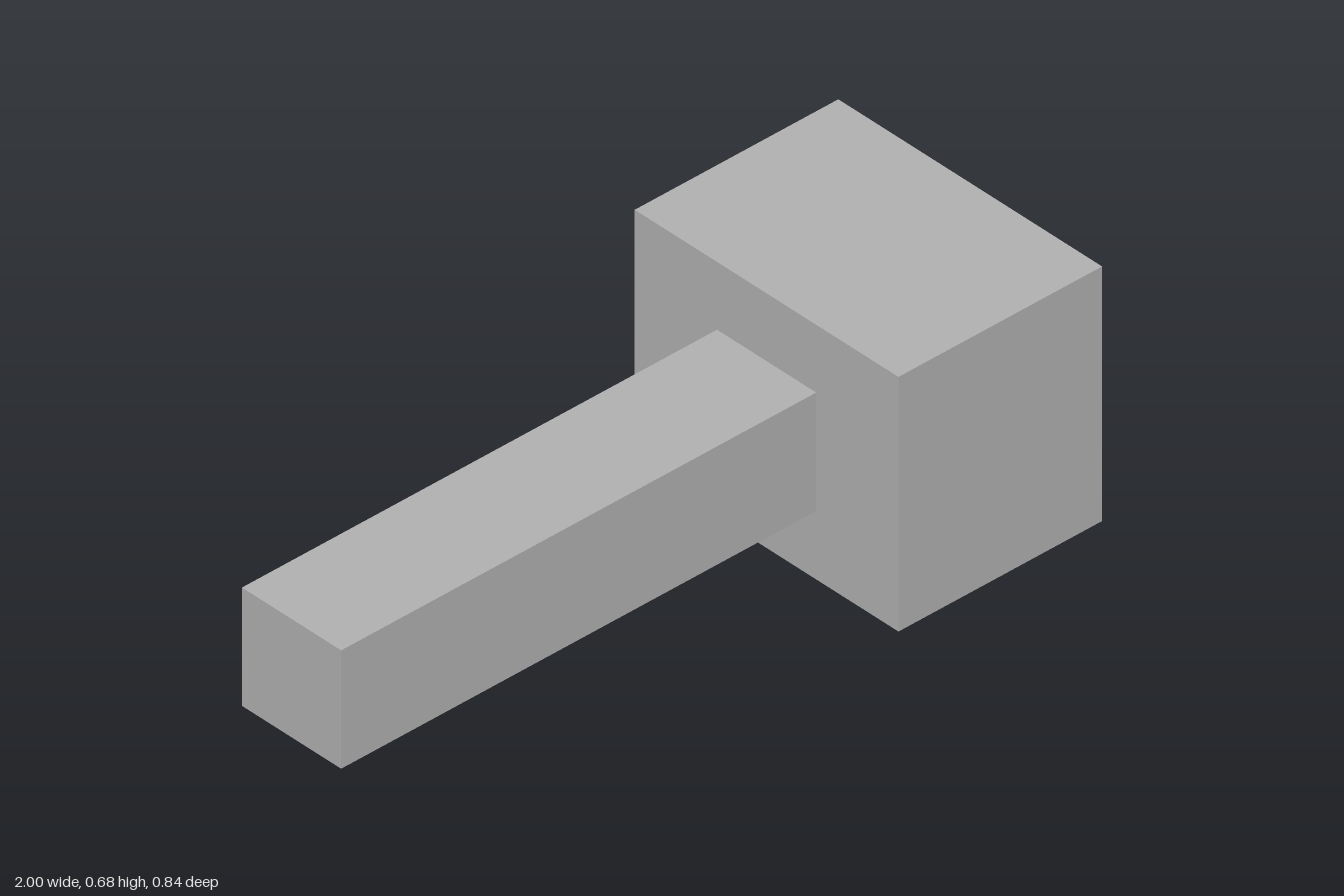
import * as THREE from 'three';

// Axis-aligned block given by its minimum and maximum corners
function block(name, min, max, material) {
  const size = max.map((v, i) => v - min[i]);
  const mesh = new THREE.Mesh(new THREE.BoxGeometry(...size), material);
  mesh.position.set(...max.map((v, i) => (v + min[i]) / 2));
  mesh.name = name;
  return mesh;
}

export function createModel() {
  const group = new THREE.Group();
  group.name = 'mallet';

  const grey = new THREE.MeshStandardMaterial({ color: 0xb2b2b2 });
  grey.name = 'grey';

  // Wide head at the left end, square handle running out to the right
  group.add(block('head', [0.4, 0, -0.42], [1, 0.68, 0.42], grey));
  group.add(block('handle', [-1, 0.183, -0.158], [0.4, 0.499, 0.158], grey));

  return group;
}
